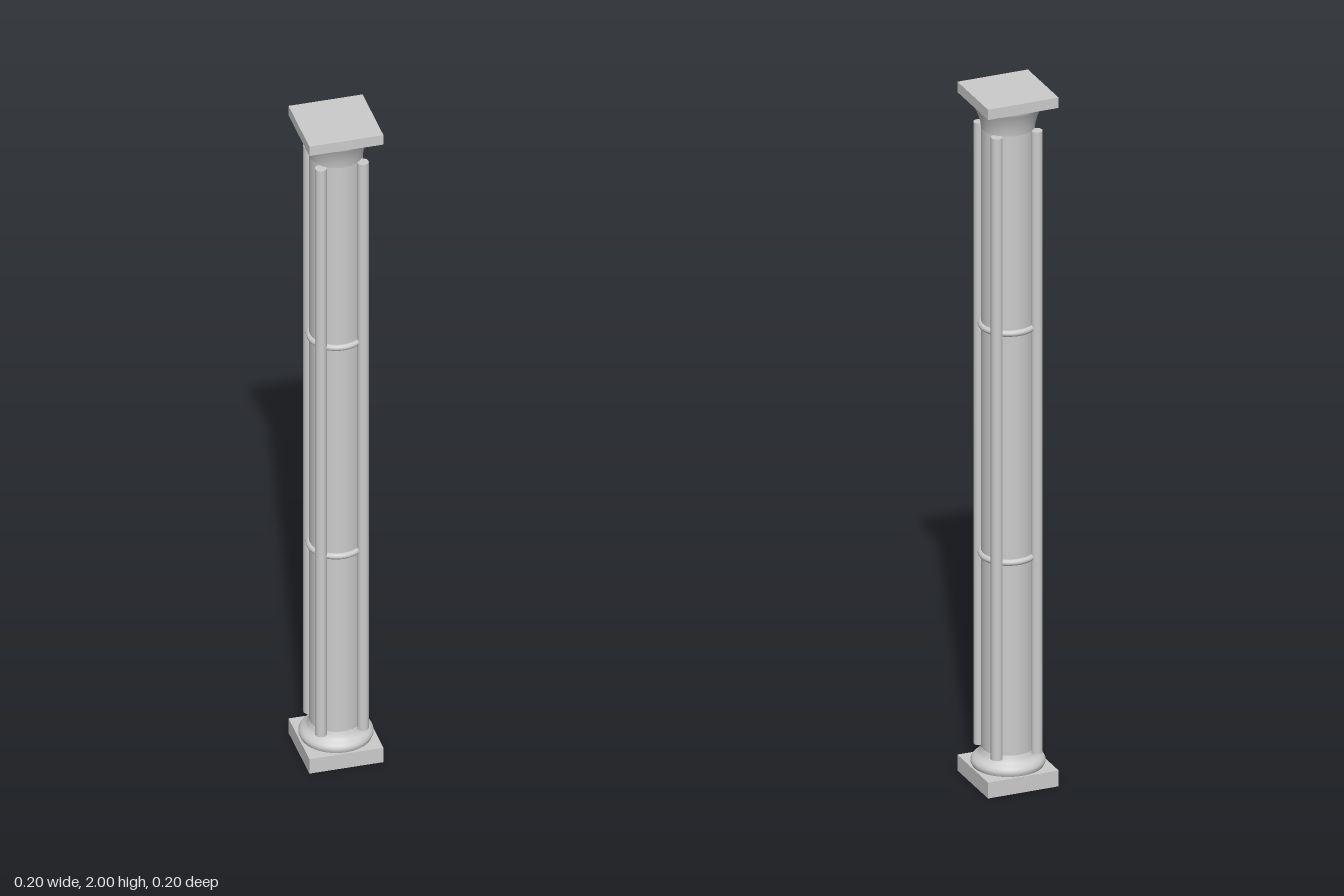
import * as THREE from 'three';

export function createModel() {
  const group = new THREE.Group();
  const material = new THREE.MeshStandardMaterial({ color: 0xcccccc });
  const add = (name, geometry, x, y, z) => {
    const mesh = new THREE.Mesh(geometry, material);
    mesh.name = name;
    mesh.position.set(x, y, z);
    group.add(mesh);
    return mesh;
  };
  const lathe = (points) =>
    new THREE.LatheGeometry(points.map(([r, y]) => new THREE.Vector2(r, y)), 48);

  const size = 0.205;
  const shaftRadius = 0.072;

  // Square slabs at foot and top
  add('plinth', new THREE.BoxGeometry(size, 0.046, size), 0, 0.023, 0);
  add('abacus', new THREE.BoxGeometry(size, 0.03, size), 0, 1.985, 0);

  // Rounded base moulding and flared capital
  add('baseMoulding', lathe([
    [0.097, 0.046], [0.1, 0.053], [0.1, 0.06], [0.096, 0.067],
    [0.089, 0.073], [0.081, 0.078], [0.076, 0.086], [shaftRadius, 0.097],
  ]), 0, 0, 0);
  add('capital', lathe([
    [shaftRadius, 1.895], [0.074, 1.91], [0.079, 1.928],
    [0.085, 1.944], [0.091, 1.957], [0.095, 1.964], [0.095, 1.97],
  ]), 0, 0, 0);

  // Main shaft
  add('shaft', new THREE.CylinderGeometry(shaftRadius, shaftRadius, 1.88, 48, 1, true), 0, 0.99, 0);

  // Rings dividing the shaft into thirds
  for (const y of [0.658, 1.323]) {
    const ring = add('shaftRing', new THREE.TorusGeometry(shaftRadius, 0.009, 12, 48), 0, y, 0);
    ring.rotation.x = Math.PI / 2;
  }

  // Slender colonnettes on the four diagonals
  const height = 1.805;
  for (let i = 0; i < 4; i++) {
    const angle = Math.PI / 4 + (i * Math.PI) / 2;
    add('colonnette', new THREE.CylinderGeometry(0.016, 0.016, height, 20),
      0.082 * Math.cos(angle), 0.09 + height / 2, 0.082 * Math.sin(angle));
  }

  return group;
}
